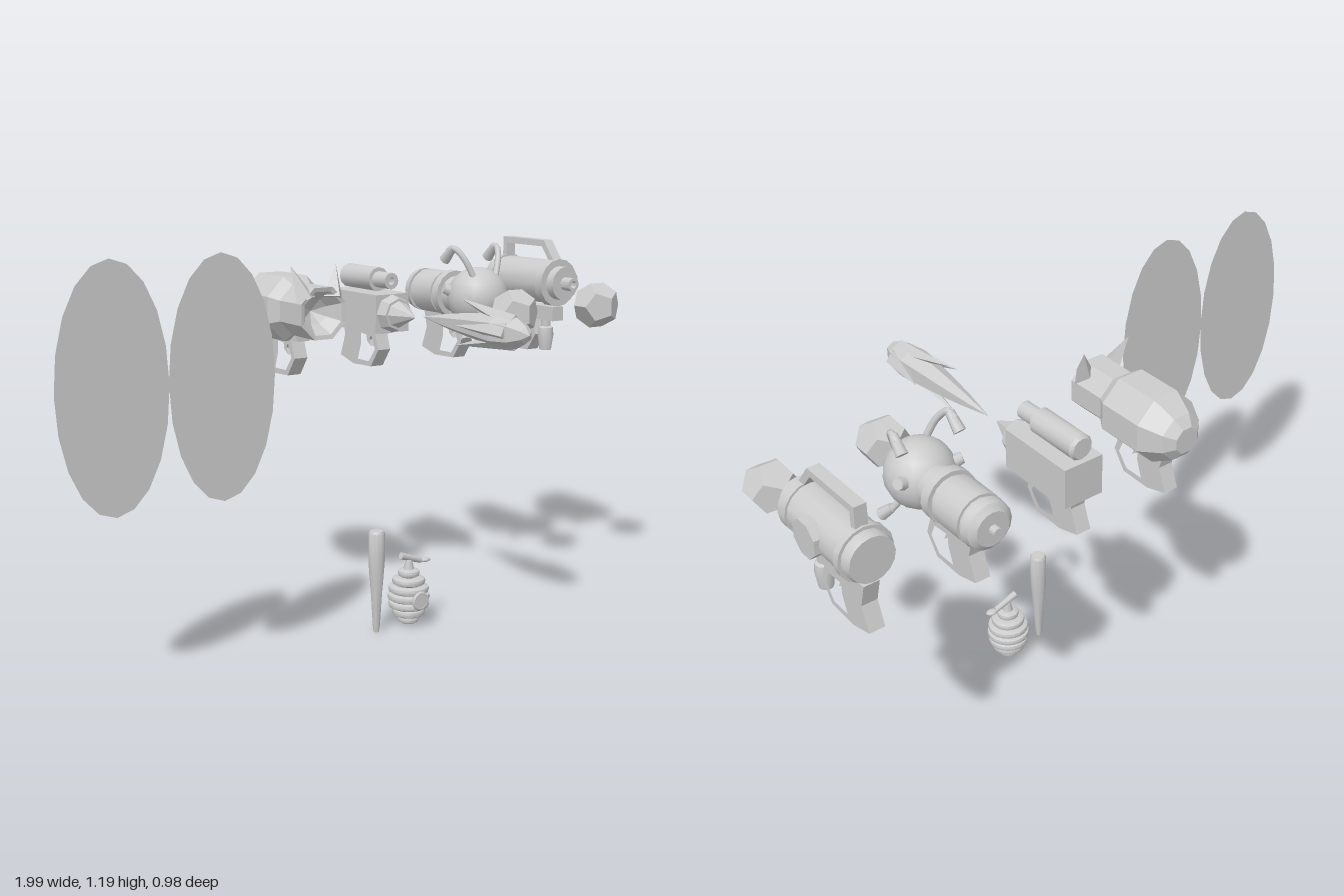
import * as THREE from 'three';
import { toCreasedNormals } from 'three/addons/utils/BufferGeometryUtils.js';

const smooth = new THREE.MeshStandardMaterial({ color: 0xcccccc });
const faceted = new THREE.MeshStandardMaterial({ color: 0xcccccc, flatShading: true });
const thin = new THREE.MeshStandardMaterial({ color: 0xcccccc, side: THREE.DoubleSide });
const V = (x, y, z) => new THREE.Vector3(x, y, z);
const UP = V(0, 1, 0);

function add(parent, name, geometry, material = smooth, pos = [0, 0, 0]) {
  const mesh = new THREE.Mesh(geometry, material);
  mesh.name = name;
  mesh.position.set(...pos);
  parent.add(mesh);
  return mesh;
}

function group(parent, name, x = 0, y = 0, z = 0) {
  const g = new THREE.Group();
  g.name = name;
  g.position.set(x, y, z);
  parent.add(g);
  return g;
}

// Turned part along y, from [radius, height] pairs
function turned(points, sides = 16) {
  const g = new THREE.LatheGeometry(points.map(([r, h]) => new THREE.Vector2(r, h)), sides);
  return toCreasedNormals(g, 0.6);
}

// Turned part along z, from [z, radius] pairs running back to front
const barrel = (points, sides = 16) =>
  turned(points.map(([z, r]) => [r, z]), sides).rotateZ(0).rotateX(Math.PI / 2);

// Tapered rod between two points
function rod(parent, name, a, b, ra, rb, sides = 8, material = smooth) {
  const dir = b.clone().sub(a);
  const mesh = add(parent, name, new THREE.CylinderGeometry(rb, ra, dir.length(), sides), material);
  mesh.position.copy(a).addScaledVector(dir, 0.5);
  mesh.quaternion.setFromUnitVectors(UP, dir.normalize());
  return mesh;
}

// Flat outline in (z, y) given thickness along x
function plate(outline, width, hole) {
  const toV2 = ([z, y]) => new THREE.Vector2(z, y);
  const shape = new THREE.Shape(outline.map(toV2));
  if (hole) shape.holes.push(new THREE.Path(hole.map(toV2)));
  return new THREE.ExtrudeGeometry(shape, { depth: width, bevelEnabled: false })
    .translate(0, 0, -width / 2).rotateY(-Math.PI / 2);
}

// Pistol grip with trigger guard, shared by all blasters
function addGrip(parent, front) {
  add(parent, 'grip', plate(
    [[front, 0.92], [front, 0.873], [-0.222, 0.873], [-0.203, 0.82], [-0.244, 0.763], [-0.344, 0.76],
      [-0.417, 0.78], [-0.391, 0.85], [-0.41, 0.92]], 0.046,
    [[-0.24, 0.86], [-0.222, 0.82], [-0.256, 0.778], [-0.318, 0.778], [-0.3, 0.83], [-0.3, 0.865]]), faceted);
  add(parent, 'trigger', plate(
    [[-0.26, 0.868], [-0.272, 0.845], [-0.262, 0.825], [-0.285, 0.84], [-0.29, 0.868]], 0.02), faceted);
}

function hornedBlaster(root) {
  const g = group(root, 'hornedBlaster', -0.05);
  const body = barrel([[-0.47, 0], [-0.47, 0.04], [-0.445, 0.07], [-0.38, 0.106], [-0.235, 0.106], [-0.2, 0.082],
    [-0.075, 0.084], [-0.078, 0.07], [-0.12, 0.04], [-0.15, 0]], 8).rotateZ(Math.PI / 8);
  add(g, 'body', body, faceted, [0, 0.97, 0]);
  for (const s of [-1, 1])
    rod(g, 'horn', V(s * 0.048, 1.01, -0.095), V(s * 0.08, 1.112, -0.132), 0.034, 0, 4, faceted);
  addGrip(g, -0.19);
}

function boxBlaster(root) {
  const g = group(root, 'boxBlaster', 0.26);
  add(g, 'body', new THREE.BoxGeometry(0.125, 0.12, 0.255), faceted, [0, 0.94, -0.288]);
  add(g, 'neck', barrel([[-0.17, 0.062], [-0.125, 0.05], [-0.125, 0.042], [-0.04, 0.003]], 8), faceted, [0, 0.94, 0]);
  add(g, 'topTank', barrel([[-0.41, 0], [-0.41, 0.03], [-0.4, 0.038], [-0.235, 0.038], [-0.235, 0.026],
    [-0.165, 0.026], [-0.165, 0.012], [-0.19, 0.012], [-0.19, 0]], 12), smooth, [0, 1.04, 0]);
  addGrip(g, -0.19);
}

function ballBlaster(root) {
  const g = group(root, 'ballBlaster', 0.59);
  add(g, 'body', barrel([[-0.492, 0], [-0.492, 0.014], [-0.47, 0.014], [-0.47, 0.05], [-0.455, 0.068], [-0.43, 0.072],
    [-0.43, 0.064], [-0.415, 0.064], [-0.415, 0.072], [-0.31, 0.072], [-0.31, 0.064], [-0.295, 0.064],
    [-0.295, 0.077], [-0.265, 0.077], [-0.265, 0.06], [-0.2, 0.06]]), smooth, [0, 0.97, 0]);
  add(g, 'ball', new THREE.SphereGeometry(0.098, 16, 12), smooth, [0, 0.97, -0.15]);
  for (const s of [-1, 1]) {
    // Hooked hoses with thicker end pieces
    const upper = new THREE.CatmullRomCurve3([V(s * 0.045, 1.04, -0.115), V(s * 0.07, 1.1, -0.135),
      V(s * 0.086, 1.13, -0.165), V(s * 0.088, 1.12, -0.195)]);
    add(g, 'upperHose', new THREE.TubeGeometry(upper, 10, 0.01, 8));
    rod(g, 'upperHoseEnd', V(s * 0.086, 1.131, -0.172), V(s * 0.088, 1.09, -0.212), 0.013, 0.018);
    const lower = new THREE.CatmullRomCurve3([V(s * 0.05, 0.91, -0.14), V(s * 0.07, 0.872, -0.12), V(s * 0.08, 0.86, -0.11)]);
    add(g, 'lowerHose', new THREE.TubeGeometry(lower, 6, 0.01, 8));
    rod(g, 'lowerHoseEnd', V(s * 0.072, 0.872, -0.118), V(s * 0.09, 0.842, -0.09), 0.013, 0.018);
    rod(g, 'sidePort', V(s * 0.075, 0.99, -0.19), V(s * 0.1, 1.0, -0.2), 0.02, 0.016);
    rod(g, 'claw', V(s * 0.035, 0.94, -0.08), V(s * 0.022, 0.918, -0.015), 0.024, 0, 6, faceted);
  }
  addGrip(g, -0.2);
}

function tankBlaster(root) {
  const g = group(root, 'tankBlaster', 0.908);
  add(g, 'body', barrel([[-0.425, 0], [-0.425, 0.065], [-0.41, 0.07], [-0.395, 0.07], [-0.395, 0.079], [-0.375, 0.079],
    [-0.375, 0.073], [-0.15, 0.073], [-0.15, 0.079], [-0.117, 0.079], [-0.117, 0.056], [-0.085, 0.056],
    [-0.085, 0.022], [-0.045, 0.022], [-0.045, 0.012], [-0.07, 0.012], [-0.07, 0]]), smooth, [0, 1.0, 0]);
  add(g, 'carryHandle', plate([[-0.12, 1.065], [-0.178, 1.138], [-0.388, 1.138], [-0.388, 1.065], [-0.368, 1.065],
    [-0.368, 1.117], [-0.188, 1.117], [-0.145, 1.065]], 0.036), faceted);
  add(g, 'sideBadge', new THREE.CylinderGeometry(0.054, 0.054, 0.03, 8)
    .rotateY(Math.PI / 8).rotateZ(-Math.PI / 2), faceted, [0.071, 1.0, -0.253]);
  add(g, 'bottle', turned([[0, 0.77], [0.02, 0.77], [0.027, 0.82], [0.024, 0.845], [0.016, 0.85], [0.016, 0.9]], 12),
    smooth, [0, 0, -0.177]);
  addGrip(g, -0.118);
}

function splashDart(root) {
  const g = group(root, 'splashDart', 0.268, 0.945, 0);
  add(g, 'dartBody', barrel([[-0.01, 0], [0.1, 0.02], [0.2, 0.034], [0.36, 0.052], [0.43, 0.045], [0.47, 0.025],
    [0.488, 0]], 6), faceted);
  const fins = [[0, 0.075, 0.175], [0, -0.067, 0.155], [-0.073, 0.008, 0.24], [0.073, 0.008, 0.24]];
  for (const [x, y, z] of fins)
    rod(g, 'dartFin', V(x * 0.35, y * 0.3, 0.42), V(x, y, z), 0.03, 0, 4, faceted);
}

function beehive(root) {
  const g = group(root, 'beehive', 0.18, 0, 0.048);
  // Stacked rolls, each a bulge in one profile
  const radii = [0.032, 0.052, 0.063, 0.066, 0.063, 0.052, 0.034];
  const profile = [[0, 0.003]];
  radii.forEach((r, i) => {
    const y = 0.003 + i * 0.0247;
    profile.push([r - 0.011, y], [r - 0.002, y + 0.005], [r, y + 0.0123], [r - 0.002, y + 0.02], [r - 0.011, y + 0.0247]);
  });
  profile.push([0, 0.176]);
  add(g, 'hiveBody', turned(profile, 20));
  add(g, 'entranceRim', new THREE.TorusGeometry(0.024, 0.006, 8, 16), smooth, [0, 0.088, 0.062]);
  add(g, 'entrance', new THREE.CircleGeometry(0.022, 16), thin, [0, 0.088, 0.067]);
  rod(g, 'stem', V(0, 0.17, 0), V(0, 0.205, 0), 0.018, 0.01);
  rod(g, 'branch', V(-0.03, 0.222, 0), V(0.045, 0.196, 0), 0.011, 0.009);
  const leaf = add(g, 'leaf', new THREE.SphereGeometry(0.018, 8, 6), smooth, [0.06, 0.195, 0]);
  leaf.scale.set(1.2, 0.4, 0.8);
}

export function createModel() {
  const root = new THREE.Group();
  root.name = 'propSet';

  // Pair of oval wings
  for (const x of [-0.837, -0.513]) {
    const wing = add(root, 'wing', new THREE.CircleGeometry(1, 20), thin, [x, 0.85, 0.142]);
    wing.scale.set(0.163, 0.34, 1);
  }

  hornedBlaster(root);
  boxBlaster(root);
  ballBlaster(root);
  tankBlaster(root);
  splashDart(root);

  // Faceted pellets
  for (const x of [0.565, 0.907])
    add(root, 'pellet', new THREE.DodecahedronGeometry(0.076), faceted, [x, 0.945, 0.067]);

  // Bat standing on its narrow end
  add(root, 'bat', turned([[0, 0], [0.008, 0], [0.011, 0.02], [0.017, 0.12], [0.025, 0.22], [0.025, 0.312],
    [0.021, 0.319], [0, 0.319]], 12), smooth, [0.051, 0, 0.059]);
  beehive(root);
  return root;
}
